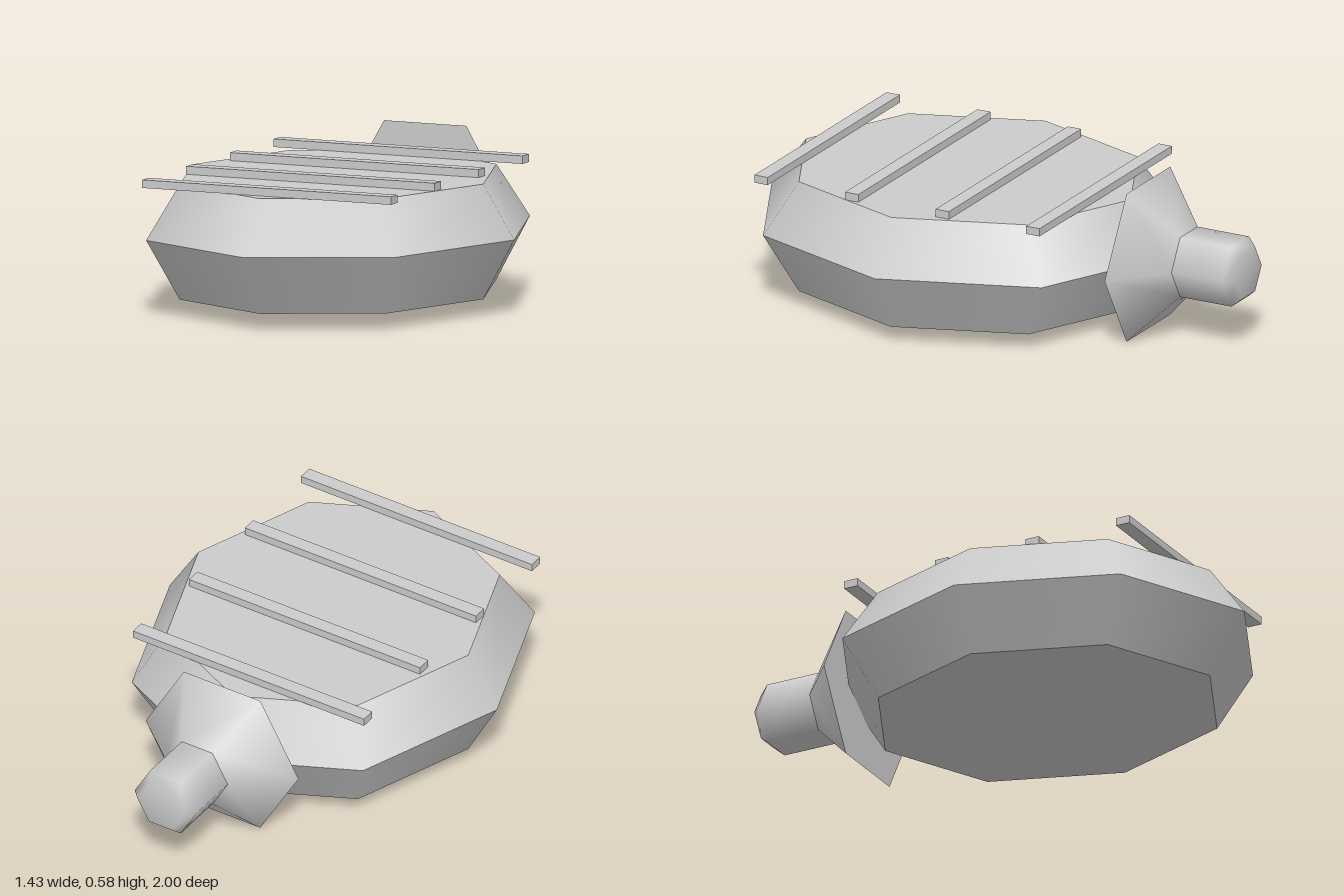
import * as THREE from 'three';

export function createModel() {
  const group = new THREE.Group();
  const grey = new THREE.MeshStandardMaterial({ color: 0xcccccc });
  grey.name = 'light grey';

  const add = (name, geometry, x, y, z) => {
    const mesh = new THREE.Mesh(geometry, grey);
    mesh.name = name;
    mesh.position.set(x, y, z);
    group.add(mesh);
  };

  // Eight-sided shell: two tapered halves meeting at a wide rim, stretched along z
  const rim = 0.715, face = 0.59, stretch = 1.154;
  const rimY = 0.295, topY = 0.495, baseY = 0.067, bodyZ = 0.175;
  const half = (name, rTop, rBottom, y0, y1) => {
    const g = new THREE.CylinderGeometry(rTop, rBottom, y1 - y0, 8);
    g.scale(1, 1, stretch);
    add(name, g, 0, (y0 + y1) / 2, bodyZ);
  };
  half('upperShell', face, rim, rimY, topY);
  half('lowerShell', rim, face, baseY, rimY);

  // Four crossbars resting on the top face
  for (let i = 0; i < 4; i++) {
    add('crossbar', new THREE.BoxGeometry(1.01, 0.03, 0.056), 0, 0.51, 0.767 - i * 0.38);
  }

  // Turn a six-sided solid so that its axis points backwards and its flats face up and down
  const backwards = (g) => g.rotateY(Math.PI / 6).rotateX(-Math.PI / 2);

  // Six-sided flared collar behind the shell
  add('collar', backwards(new THREE.CylinderGeometry(0.134, 0.334, 0.17, 6)), 0, rimY, -0.665);

  // Six-sided knob with a bevelled, softly shaded end
  const profile = [[0.134, 0], [0.134, 0.1], [0.134, 0.215], [0.1, 0.25], [0, 0.25]]
    .map(([r, y]) => new THREE.Vector2(r, y));
  add('knob', backwards(new THREE.LatheGeometry(profile, 6)), 0, rimY, -0.75);

  return group;
}
